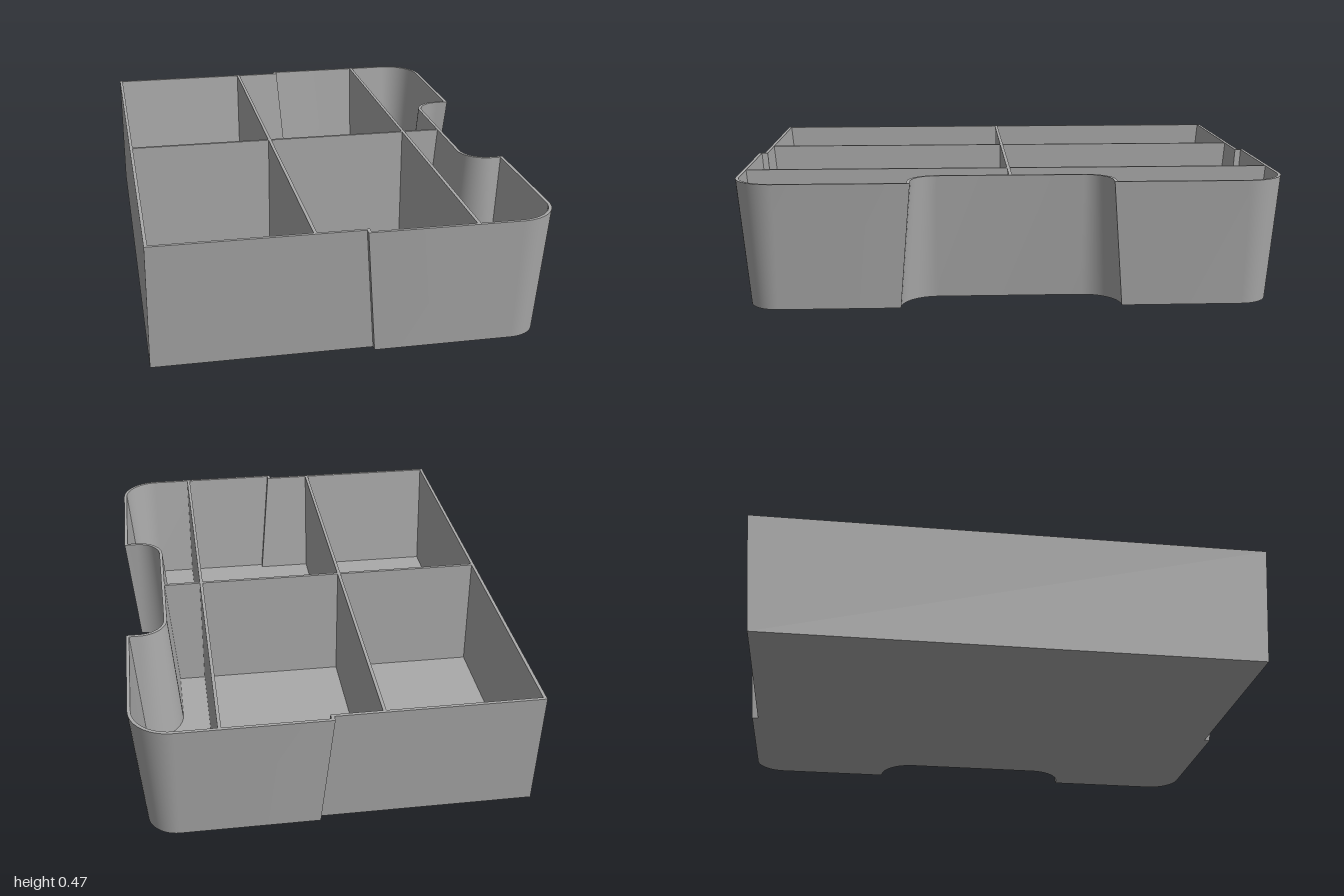
import * as THREE from 'three';
import { toCreasedNormals } from 'three/addons/utils/BufferGeometryUtils.js';

const HEIGHT = 0.47;  // overall height
const DRAFT = 0.04;   // how far the sloping sides lean in at the base
const WALL = 0.012;   // wall and floor thickness

// Outline [x, z] of the tray, inset by d on the sloping sides and by back on the straight side
function outline(d, back) {
  const half = [];
  const arc = (cx, cz, r, from, to, n = 14) => {
    for (let i = 0; i <= n; i++) {
      const a = from + (to - from) * i / n;
      half.push([cx + r * Math.cos(a), cz + r * Math.sin(a)]);
    }
  };
  half.push([-0.72 + back, 0.977 - d], [0.025 + d, 0.977 - d], [0.025 + d, 1 - d]);
  arc(0.57, 0.85, 0.15 - d, Math.PI / 2, 0);          // rounded corner
  half.push([0.72 - d, 0.365 + d]);
  arc(0.67, 0.27, 0.095 + d, Math.PI / 2, Math.PI);   // notch corner
  return [...half, ...half.map(([x, z]) => [x, -z]).reverse()];
}

// Skin through matching rings, closed by a cap at each end
function trayGeometry() {
  const floorInset = DRAFT * (1 - WALL / HEIGHT) + WALL;
  const rings = [
    [outline(DRAFT, 0), 0],
    [outline(0, 0), HEIGHT],
    [outline(WALL, WALL), HEIGHT],
    [outline(floorInset, WALL), WALL],
  ].map(([pts, y]) => pts.map(([x, z]) => new THREE.Vector3(x, y, z)));
  const out = [];
  const tri = (...vs) => vs.forEach(v => out.push(v.x, v.y, v.z));

  for (let r = 0; r < rings.length - 1; r++) {
    const lo = rings[r], hi = rings[r + 1];
    for (let i = 0; i < lo.length; i++) {
      const j = (i + 1) % lo.length;
      tri(lo[i], lo[j], hi[j]);
      tri(lo[i], hi[j], hi[i]);
    }
  }
  const cap = (ring, up) => {
    const flat = ring.map(v => new THREE.Vector2(v.x, -v.z));
    for (const [a, b, c] of THREE.ShapeUtils.triangulateShape(flat, [])) {
      if (up) tri(ring[a], ring[b], ring[c]);
      else tri(ring[a], ring[c], ring[b]);
    }
  };
  cap(rings[0], false);
  cap(rings[3], true);

  const geo = new THREE.BufferGeometry();
  geo.setAttribute('position', new THREE.Float32BufferAttribute(out, 3));
  return toCreasedNormals(geo, 0.4);
}

// Upright panel whose ends follow the sloping walls
function dividerGeometry(bottomStart, bottomEnd, topStart, topEnd) {
  const shape = new THREE.Shape([
    new THREE.Vector2(bottomStart, WALL / 2),
    new THREE.Vector2(bottomEnd, WALL / 2),
    new THREE.Vector2(topEnd, HEIGHT),
    new THREE.Vector2(topStart, HEIGHT),
  ]);
  return new THREE.ExtrudeGeometry(shape, { depth: WALL, bevelEnabled: false })
    .translate(0, 0, -WALL / 2);
}

export function createModel() {
  const group = new THREE.Group();
  const grey = new THREE.MeshStandardMaterial({ color: 0xaaaaaa });
  grey.name = 'grey plastic';

  const add = (name, geo) => {
    const mesh = new THREE.Mesh(geo, grey);
    mesh.name = name;
    group.add(mesh);
    return mesh;
  };

  add('trayShell', trayGeometry());

  // Long divider down the middle
  const notchX = 0.575 - WALL / 2;
  add('middleDivider', dividerGeometry(-0.715, notchX - DRAFT, -0.715, notchX));

  // Two cross dividers
  for (const [name, x, edge] of [['leftCrossDivider', -0.15, 0.977], ['rightCrossDivider', 0.415, 1]]) {
    const top = edge - WALL / 2, bottom = top - DRAFT;
    const divider = add(name, dividerGeometry(-bottom, bottom, -top, top));
    divider.rotation.y = Math.PI / 2;
    divider.position.x = x;
  }
  return group;
}
